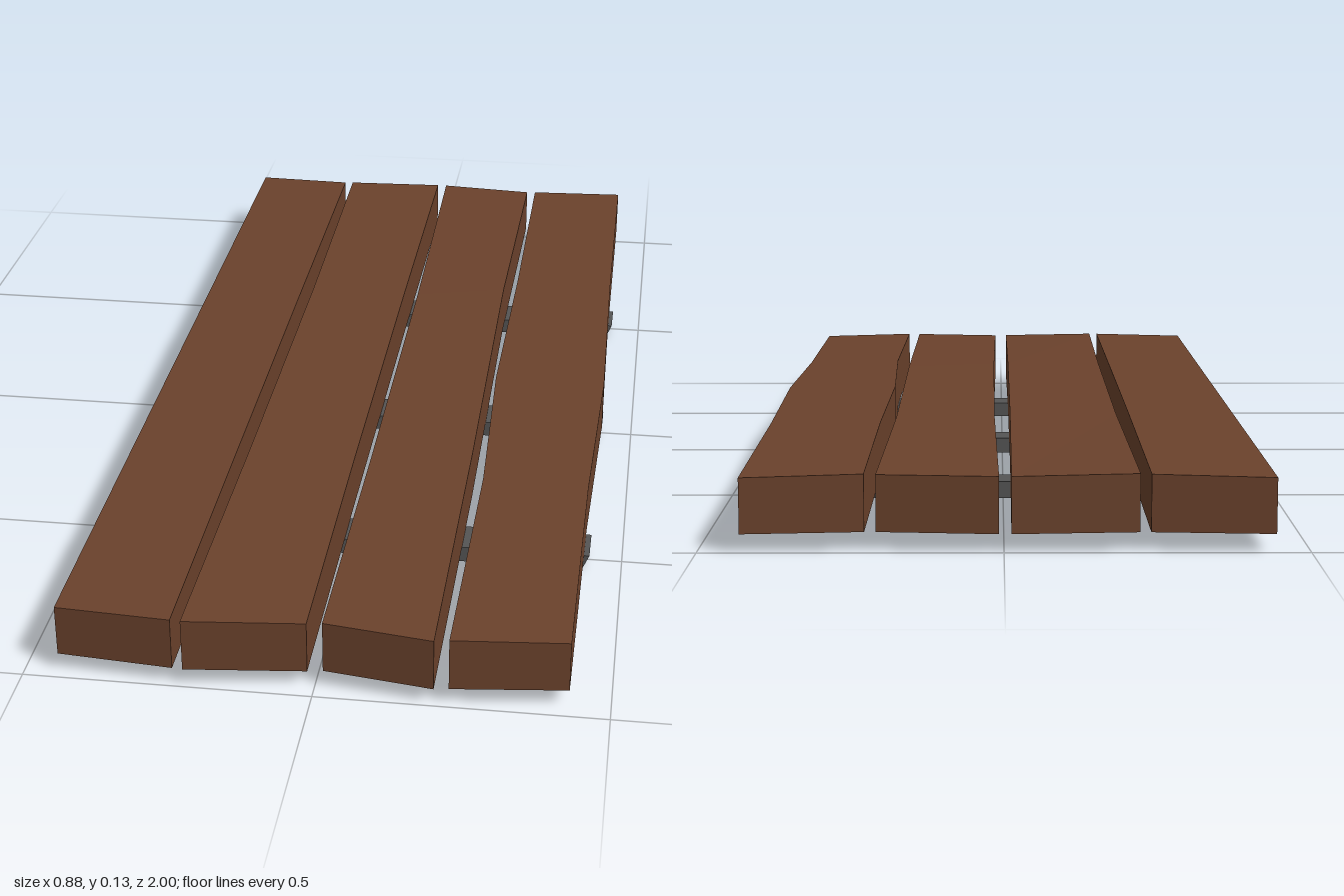
import * as THREE from 'three';

const wood = new THREE.MeshStandardMaterial({ color: 0x6b422c, flatShading: true });
wood.name = 'brownWood';
const iron = new THREE.MeshStandardMaterial({ color: 0x555555, flatShading: true });
iron.name = 'darkIron';

const BOTTOM = 0.031;

// Lofts four-cornered sections from back to front.
// Station: [left x, left z, left top, right x, right z, right top]
function plankGeometry(stations) {
  const pos = [], index = [];
  for (const [xl, zl, yl, xr, zr, yr] of stations) {
    pos.push(xl, BOTTOM, zl, xr, BOTTOM, zr, xr, yr, zr, xl, yl, zl);
  }
  const quad = (a, b, c, d) => index.push(a, b, c, a, c, d);
  const last = (stations.length - 1) * 4;
  for (let s = 0; s < last; s += 4) {
    for (let i = 0; i < 4; i++) {
      const j = (i + 1) % 4;
      quad(s + i, s + j, s + 4 + j, s + 4 + i);
    }
  }
  quad(3, 2, 1, 0);
  quad(last, last + 1, last + 2, last + 3);
  const g = new THREE.BufferGeometry();
  g.setAttribute('position', new THREE.Float32BufferAttribute(pos, 3));
  g.setIndex(index);
  const flat = g.toNonIndexed();
  flat.computeVertexNormals();
  return flat;
}

// Hand-cut boards with slightly skewed ends and uneven edges
const planks = [
  [[-0.443, -1, 0.124, -0.24, -0.985, 0.127], [-0.443, -0.3, 0.124, -0.24, -0.3, 0.13],
    [-0.443, 0.4, 0.124, -0.24, 0.4, 0.129], [-0.443, 0.975, 0.124, -0.24, 0.992, 0.127]],
  [[-0.222, -0.985, 0.128, -0.012, -1, 0.126], [-0.216, -0.35, 0.129, -0.014, -0.35, 0.128],
    [-0.217, 0.4, 0.129, -0.014, 0.4, 0.128], [-0.222, 0.994, 0.127, -0.012, 0.972, 0.126]],
  [[0.008, -1, 0.126, 0.209, -0.982, 0.126], [0.016, -0.35, 0.129, 0.201, -0.4, 0.129],
    [0.017, 0.4, 0.129, 0.206, 0.35, 0.129], [0.014, 0.967, 0.126, 0.205, 0.996, 0.126]],
  [[0.228, -0.982, 0.127, 0.43, -1, 0.124], [0.228, -0.45, 0.129, 0.433, -0.45, 0.125],
    [0.222, 0.03, 0.129, 0.441, 0.03, 0.126], [0.235, 0.45, 0.129, 0.431, 0.45, 0.125],
    [0.23, 0.992, 0.127, 0.43, 0.97, 0.124]],
];

export function createModel() {
  const model = new THREE.Group();
  model.name = 'plankPlatform';

  planks.forEach((stations, i) => {
    const plank = new THREE.Mesh(plankGeometry(stations), wood);
    plank.name = `plank${i + 1}`;
    model.add(plank);
  });

  // Cross bars with bevelled ends underneath
  const profile = new THREE.Shape([
    new THREE.Vector2(-0.43, 0), new THREE.Vector2(0.428, 0),
    new THREE.Vector2(0.441, 0.03), new THREE.Vector2(-0.443, 0.03),
  ]);
  const barGeometry = new THREE.ExtrudeGeometry(profile, { depth: 0.076, bevelEnabled: false });
  barGeometry.translate(0, 0, -0.038);
  [-0.49, 0.004, 0.499].forEach((z, i) => {
    const bar = new THREE.Mesh(barGeometry, iron);
    bar.name = `crossBar${i + 1}`;
    bar.position.z = z;
    model.add(bar);
  });

  return model;
}
